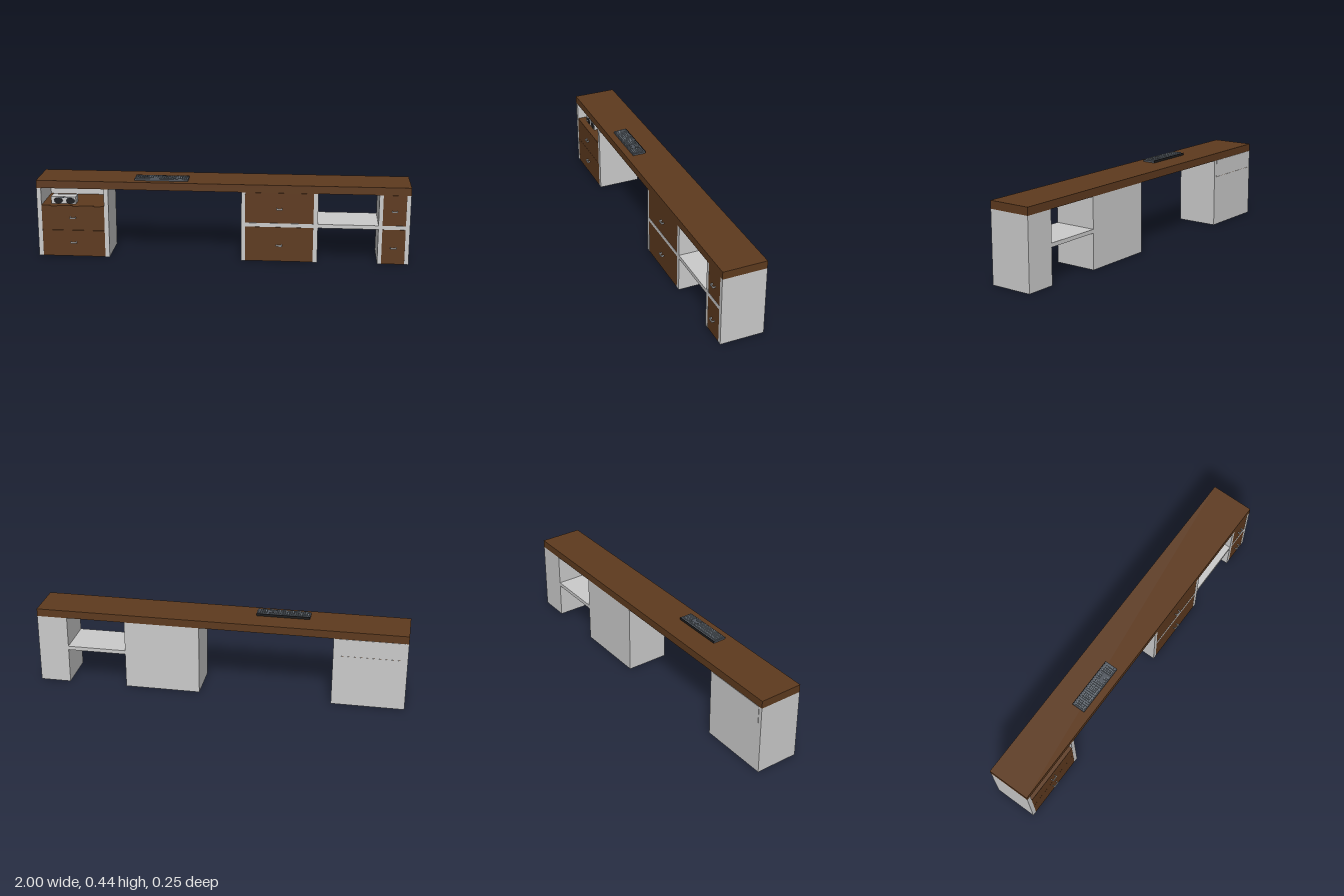
import * as THREE from 'three';
import { mergeGeometries } from 'three/addons/utils/BufferGeometryUtils.js';

const mat = (color) => new THREE.MeshStandardMaterial({ color });

// Box geometry given by its extents on each axis
function boxGeo(x0, x1, y0, y1, z0, z1) {
  return new THREE.BoxGeometry(x1 - x0, y1 - y0, z1 - z0)
    .translate((x0 + x1) / 2, (y0 + y1) / 2, (z0 + z1) / 2);
}

export function createModel() {
  const model = new THREE.Group();
  const grey = mat(0xcccccc), wood = mat(0x5e3a1e);
  const dark = mat(0x50565e), black = mat(0x1c1c1e), keyGrey = mat(0x6c747c);
  const BACK = -0.124, FRONT = 0.112, TOP = 0.382, FACE = FRONT - 0.012;

  const add = (name, geo, material, parent = model) => {
    const mesh = new THREE.Mesh(geo, material);
    mesh.name = name;
    parent.add(mesh);
    return mesh;
  };
  const box = (name, material, ...e) => add(name, boxGeo(...e), material);

  // U-shaped drawer pull
  const handleGeo = (x, y) => {
    const h = 0.004, w = 0.016, z = FRONT + 0.015;
    return mergeGeometries([
      boxGeo(x - w, x + w, y - h, y + h, z - 0.004, z),
      boxGeo(x - w, x - w + 0.004, y - h, y + h, FRONT, z - 0.004),
      boxGeo(x + w - 0.004, x + w, y - h, y + h, FRONT, z - 0.004),
    ]);
  };

  // Wooden drawer front with a grey box behind it and a pull
  const drawer = (x0, x1, y0, y1, handleY) => {
    box('drawerBox', grey, x0, x1, y0, y1, BACK, FACE);
    box('drawerFront', wood, x0, x1, y0 + 0.0008, y1 - 0.0008, FACE, FRONT - 0.0005);
    add('drawerHandle', handleGeo((x0 + x1) / 2, handleY), grey);
  };

  box('countertop', wood, -1, 1, TOP, 0.424, BACK, FRONT);

  // Upright side panels of the three cabinets
  for (const [x0, x1] of [[-1, -0.976], [-0.635, -0.611], [0.105, 0.126],
    [0.49, 0.514], [0.834, 0.855], [0.978, 1]])
    box('sidePanel', grey, x0, x1, 0, TOP, BACK, FRONT);

  // Two-drawer cabinet with an open niche on top
  drawer(-0.976, -0.635, 0, 0.148, 0.08);
  drawer(-0.976, -0.635, 0.148, 0.284, 0.22);
  box('nicheFloor', wood, -0.976, -0.635, 0.284, 0.286, BACK + 0.001, FRONT - 0.0005);
  box('nicheBack', grey, -0.98, -0.63, 0.286, TOP, BACK - 0.002, BACK + 0.001);

  // Middle and end cabinets share the long shelf
  for (const [x0, x1] of [[0.126, 0.49], [0.855, 0.978]]) {
    drawer(x0, x1, 0, 0.193, 0.092);
    drawer(x0, x1, 0.214, TOP, 0.295);
  }
  for (const [x0, x1] of [[0.126, 0.49], [0.514, 0.834], [0.855, 0.978]])
    box('shelf', grey, x0, x1, 0.193, 0.214, BACK, FRONT);

  // Small radio in the niche
  const radio = new THREE.Group();
  radio.name = 'radio';
  model.add(radio);
  add('radioBody', boxGeo(-0.93, -0.795, 0.286, 0.325, 0.02, 0.075), grey, radio);
  add('radioDisplay', boxGeo(-0.895, -0.83, 0.318, 0.322, 0.075, 0.0755), dark, radio);
  for (const x of [-0.891, -0.825]) {
    const rim = add('speakerRim', new THREE.TorusGeometry(0.016, 0.0015, 6, 28), dark, radio);
    rim.scale.x = 1.4;
    rim.position.set(x, 0.303, 0.075);
    const cone = add('speakerCone',
      new THREE.CylinderGeometry(0.016, 0.016, 0.002, 28).rotateX(Math.PI / 2), black, radio);
    cone.scale.x = 1.4;
    cone.position.set(x, 0.303, 0.0755);
  }

  // Keyboard lying on the countertop
  const keyboard = new THREE.Group();
  keyboard.name = 'keyboard';
  model.add(keyboard);
  add('keyboardBody', boxGeo(-0.472, -0.184, 0.424, 0.434, 0.003, 0.074), dark, keyboard);
  add('keyboardBackRim', boxGeo(-0.472, -0.184, 0.424, 0.437, 0, 0.003), black, keyboard);
  const keys = [];
  const P = 0.0118, G = 0.001;
  const key = (x, row, w = 1) => {
    const z = 0.012 + row * 0.0095;
    keys.push(boxGeo(x + G, x + w * P - G, 0.434, 0.44 - (row % 2) * 0.001, z + G, z + 0.0095 - G));
  };
  // Main block, arrow block and number pad
  const mainX = -0.466, navX = -0.284, padX = -0.2385;
  for (let r = 0; r < 6; r++) {
    if (r < 5) for (let i = 0; i < 15; i++) key(mainX + i * P, r);
    if (r < 2) for (let i = 0; i < 3; i++) key(navX + i * P, r);
    for (let i = 0; i < 4; i++) key(padX + i * P, r);
  }
  key(navX + P, 4);
  for (let i = 0; i < 3; i++) key(navX + i * P, 5);
  for (const i of [0, 1, 2, 3, 11, 12, 13, 14]) key(mainX + i * P, 5);
  key(mainX + 4 * P, 5, 7);
  add('keys', mergeGeometries(keys), keyGrey, keyboard);

  return model;
}
